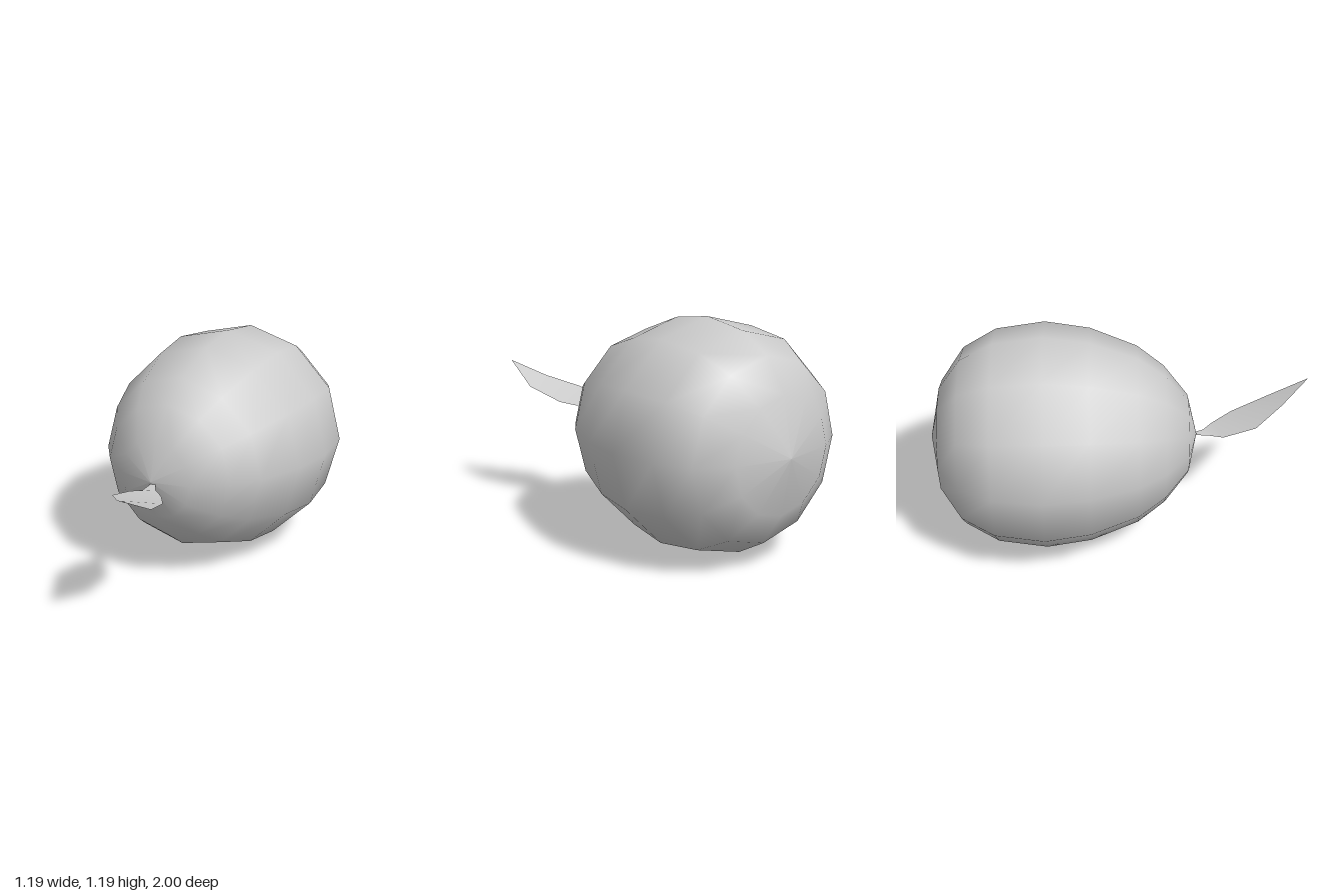
import * as THREE from 'three';

export function createModel() {
  const group = new THREE.Group();
  const grey = new THREE.MeshStandardMaterial({ color: 0xcccccc });

  // Fruit: twelve-sided egg turned around the z axis, [radius, z] from back to front
  const profile = [
    [0, -1], [0.297, -0.94], [0.465, -0.825], [0.56, -0.655], [0.595, -0.4],
    [0.56, -0.165], [0.465, 0.08], [0.36, 0.22], [0.207, 0.343], [0, 0.39],
  ].map(([r, z]) => new THREE.Vector2(r, z));
  const fruitGeometry = new THREE.LatheGeometry(profile, 12);
  fruitGeometry.rotateX(Math.PI / 2);
  const fruit = new THREE.Mesh(fruitGeometry, grey);
  fruit.name = 'fruit';
  fruit.position.y = 0.595;
  group.add(fruit);

  // Leaf: thin strip between left and right edge points, curling up to a tip
  const edges = [
    [[0, 0.587, 0.37], [0.02, 0.587, 0.37]],
    [[0, 0.58, 0.46], [0.055, 0.582, 0.43]],
    [[-0.035, 0.592, 0.53], [0.12, 0.58, 0.48]],
    [[-0.02, 0.638, 0.7], [0.2, 0.6, 0.59]],
    [[0.11, 0.695, 0.85], [0.26, 0.66, 0.79]],
    [[0.245, 0.777, 0.998], [0.245, 0.777, 0.998]],
  ];
  const index = [];
  for (let i = 0; i < edges.length - 1; i++) {
    const a = 2 * i;
    index.push(a, a + 2, a + 1);
    if (i < edges.length - 2) index.push(a + 1, a + 2, a + 3);
  }
  const leafGeometry = new THREE.BufferGeometry();
  leafGeometry.setAttribute('position', new THREE.Float32BufferAttribute(edges.flat(2), 3));
  leafGeometry.setIndex(index);
  leafGeometry.computeVertexNormals();
  const leafMaterial = new THREE.MeshStandardMaterial({ color: 0xcccccc, side: THREE.DoubleSide });
  const leaf = new THREE.Mesh(leafGeometry, leafMaterial);
  leaf.name = 'leaf';
  group.add(leaf);

  return group;
}
